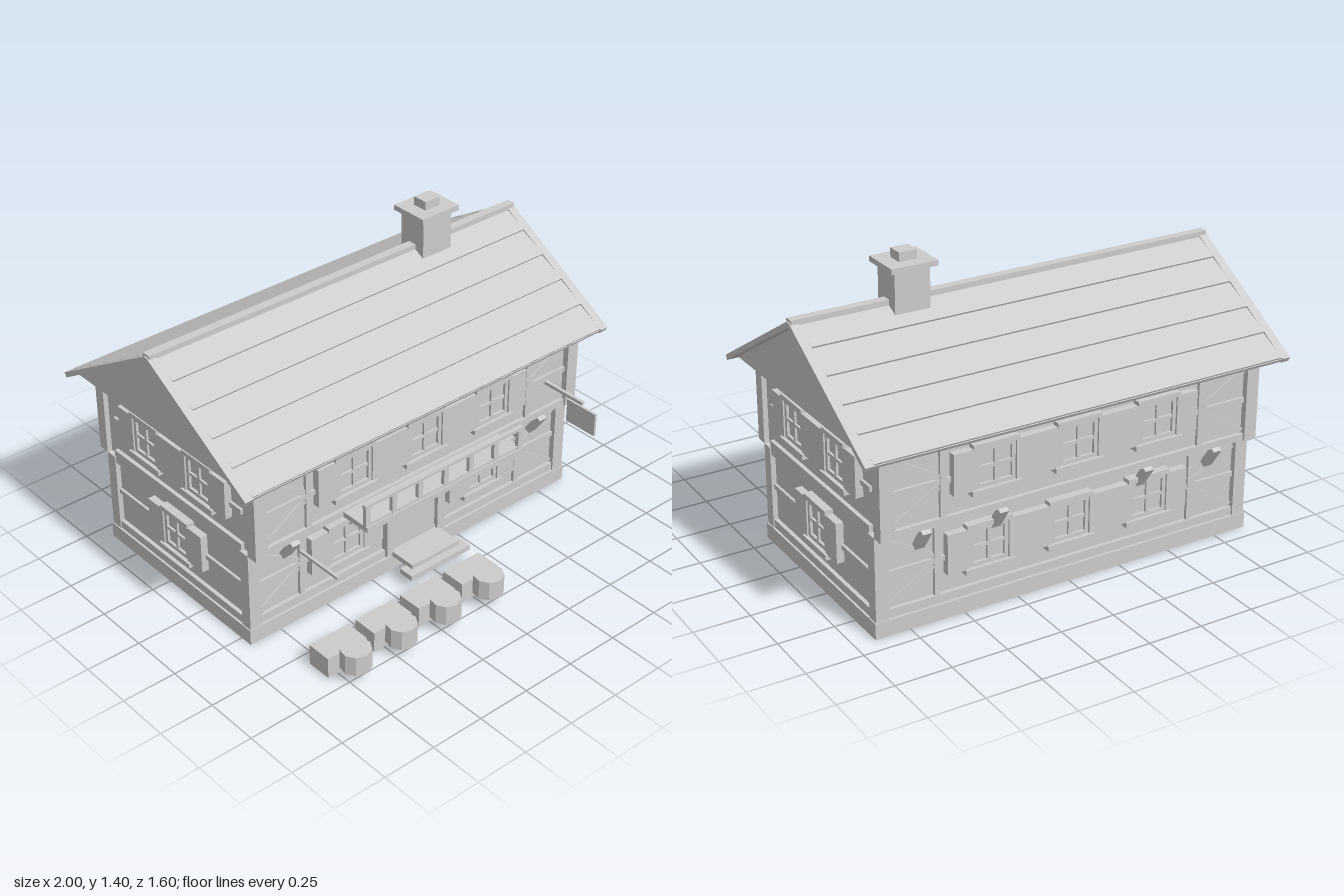
import * as THREE from 'three';

const gray = new THREE.MeshStandardMaterial({ color: 0xcccccc });
gray.name = 'plain gray';
const ZC = -0.183; // middle of the house in z

function add(parent, name, geo, x = 0, y = 0, z = 0) {
  const m = new THREE.Mesh(geo, gray);
  m.name = name;
  m.position.set(x, y, z);
  parent.add(m);
  return m;
}

// box given by its limits on each axis
function span(parent, name, x0, x1, y0, y1, z0, z1) {
  return add(parent, name, new THREE.BoxGeometry(x1 - x0, y1 - y0, z1 - z0),
    (x0 + x1) / 2, (y0 + y1) / 2, (z0 + z1) / 2);
}

function group(parent, name) {
  const g = new THREE.Group();
  g.name = name;
  parent.add(g);
  return g;
}

// shuttered window; the wall plane is z = 0
function windowUnit(parent, x, y, half) {
  const w = group(parent, 'window');
  w.position.set(x, y, 0);
  const h = 0.087, t = 0.017;
  span(w, 'pane', -half, half, -h, h, 0, 0.016);
  for (const s of [-1, 1]) {
    const c = s * (half - t / 2);
    span(w, 'frameSide', c - t / 2, c + t / 2, -h, h, 0, 0.028);
    const e = s * (h - t / 2);
    span(w, 'frameEnd', -half, half, e - t / 2, e + t / 2, 0, 0.028);
    const sh = s * (half + 0.053);
    span(w, 'shutter', sh - 0.051, sh + 0.051, -0.09, 0.09, 0, 0.034);
  }
  span(w, 'mullion', -0.007, 0.007, -h, h, 0, 0.026);
  span(w, 'transom', -half, half, -0.007, 0.007, 0, 0.026);
  span(w, 'sill', -half - 0.025, half + 0.025, -0.11, -h, 0, 0.045);
  span(w, 'header', -half - 0.015, half + 0.015, h, 0.108, 0, 0.038);
}

// one storey of timbering on a wall
function timbers(parent, half, bands, braced) {
  const [bottom, rail, top] = bands;
  span(parent, 'bottomBeam', -half, half, ...bottom, 0, 0.018);
  span(parent, 'midRail', -half, half, ...rail, 0, 0.012);
  span(parent, 'topBeam', -half, half, ...top, 0, 0.018);
  if (!braced) return;
  for (const s of [-1, 1]) {
    span(parent, 'stud', s * 0.617 - 0.013, s * 0.617 + 0.013, bottom[1], top[0], 0, 0.014);
    for (const [yo, yi] of [[top[0] - 0.012, rail[1] + 0.008], [bottom[1] + 0.012, rail[0] - 0.008]]) {
      const dx = -s * 0.205, dy = yi - yo;
      const b = add(parent, 'brace', new THREE.BoxGeometry(Math.hypot(dx, dy), 0.025, 0.011),
        s * 0.735, (yo + yi) / 2, 0.0055);
      b.rotation.z = Math.atan(dy / dx);
    }
  }
}

const LOWER = [[0.07, 0.11], [0.255, 0.278], [0.418, 0.45]];
const UPPER = [[0.45, 0.482], [0.625, 0.648], [0.787, 0.83]];

function facade(house, name, turn, lowDist, highDist, half, lowWins, highWins, winHalf, braced) {
  const f = group(house, name);
  f.position.z = ZC;
  f.rotation.y = turn;
  const low = group(f, 'lowerStorey'), high = group(f, 'upperStorey');
  low.position.z = lowDist;
  high.position.z = highDist;
  timbers(low, half, LOWER, braced);
  timbers(high, half, UPPER, braced);
  lowWins.forEach(x => windowUnit(low, x, 0.285, winHalf));
  highWins.forEach(x => windowUnit(high, x, 0.66, winHalf));
  // slanted brackets below the overhang
  if (braced) for (const x of [-0.7, -0.35, 0.35, 0.7]) {
    const b = add(low, 'bracket', new THREE.BoxGeometry(0.042, 0.115, 0.03), x, 0.402, 0.042);
    b.rotation.x = 0.6;
  }
}

function roof(house) {
  const r = group(house, 'roof');
  r.position.z = ZC;
  const run = 0.612, rise = 0.365, peak = 1.19;
  const angle = Math.atan2(rise, run), len = Math.hypot(run, rise);
  const tri = new THREE.Shape([[-run + 0.01, 0.826], [run - 0.01, 0.826], [0, peak - 0.006]]
    .map(p => new THREE.Vector2(...p)));
  const gable = new THREE.ExtrudeGeometry(tri, { depth: 1.92, bevelEnabled: false });
  gable.translate(0, 0, -0.96).rotateY(Math.PI / 2);
  add(r, 'gable', gable);
  for (const turn of [0, Math.PI]) {
    const side = group(r, 'roofSide');
    side.rotation.y = turn;
    const slope = group(side, 'slope');
    slope.position.y = peak;
    slope.rotation.x = angle;
    span(slope, 'roofBoard', -0.97, 0.97, -0.014, 0.002, 0, len);
    for (let i = 0; i < 5; i++) {
      const c = add(slope, 'shingleCourse', new THREE.BoxGeometry(1.92, 0.01, 0.135),
        0, 0.002, (i + 0.5) * len / 5);
      c.rotation.x = -0.06;
    }
    for (const s of [-1, 1])
      span(slope, 'bargeBoard', s * 0.98 - 0.02, s * 0.98 + 0.02, -0.014, 0.009, 0, len + 0.004);
  }
  span(r, 'ridgeCap', -0.995, 0.995, 1.178, 1.207, -0.02, 0.02);
  // chimney
  span(r, 'chimneyStack', 0.405, 0.565, 1.08, 1.34, -0.07, 0.07);
  span(r, 'chimneyCap', 0.38, 0.59, 1.338, 1.362, -0.092, 0.092);
  span(r, 'chimneyPot', 0.445, 0.525, 1.36, 1.402, -0.036, 0.036);
}

function entrance(house) {
  const e = group(house, 'entrance');
  span(e, 'door', -0.12, 0.12, 0.085, 0.365, 0.27, 0.297);
  for (const s of [-1, 1]) span(e, 'doorPost', s * 0.145 - 0.021, s * 0.145 + 0.021, 0.08, 0.365, 0.27, 0.313);
  span(e, 'lintel', -0.175, 0.175, 0.362, 0.402, 0.27, 0.316);
  const canopy = add(e, 'canopy', new THREE.BoxGeometry(0.4, 0.018, 0.12), 0, 0.42, 0.357);
  canopy.rotation.x = -0.17;
  span(e, 'upperStep', -0.135, 0.135, 0.072, 0.096, 0.3, 0.44);
  span(e, 'lowerStep', -0.17, 0.17, 0.05, 0.075, 0.4, 0.475);
}

function balcony(house) {
  const b = group(house, 'balcony');
  span(b, 'balconyFloor', -0.44, 0.44, 0.45, 0.475, 0.33, 0.5);
  span(b, 'topRail', -0.445, 0.445, 0.567, 0.582, 0.475, 0.495);
  span(b, 'bottomRail', -0.44, 0.44, 0.475, 0.488, 0.477, 0.493);
  for (let i = 0; i <= 6; i++) {
    const x = -0.43 + i * 0.86 / 6;
    span(b, 'railPost', x - 0.013, x + 0.013, 0.475, 0.57, 0.476, 0.494);
  }
}

export function createModel() {
  const house = new THREE.Group();
  house.name = 'timberHouse';

  // body
  span(house, 'foundation', -0.908, 0.908, 0, 0.072, ZC - 0.493, ZC + 0.493);
  span(house, 'lowerWalls', -0.88, 0.88, 0.05, 0.46, ZC - 0.463, ZC + 0.463);
  span(house, 'upperWalls', -0.88, 0.88, 0.45, 0.83, ZC - 0.515, ZC + 0.515);
  for (const sx of [-1, 1]) for (const sz of [-1, 1]) {
    const x = sx * 0.873;
    const zl = ZC + sz * 0.462, zu = ZC + sz * 0.516;
    span(house, 'lowerPost', x - 0.03, x + 0.03, 0.07, 0.45, zl - 0.027, zl + 0.027);
    span(house, 'upperPost', x - 0.03, x + 0.03, 0.45, 0.83, zu - 0.027, zu + 0.027);
  }

  // walls with timbering and windows
  const three = [-0.387, 0, 0.387], pair = [-0.182, 0.182];
  facade(house, 'frontWall', 0, 0.463, 0.515, 0.845, [-0.387, 0.387], three, 0.09, true);
  facade(house, 'backWall', Math.PI, 0.463, 0.515, 0.845, three, three, 0.09, true);
  for (const s of [-1, 1])
    facade(house, 'sideWall', s * Math.PI / 2, 0.88, 0.88, 0.44, [0], pair, 0.08, false);

  roof(house);
  entrance(house);
  balcony(house);

  // hanging sign and flag pole
  span(house, 'signArm', 0.732, 0.748, 0.597, 0.612, 0.33, 0.56);
  span(house, 'signBoard', 0.735, 0.746, 0.475, 0.585, 0.47, 0.637);
  span(house, 'pole', -0.797, -0.785, 0.533, 0.545, 0.505, 0.735);

  // row of crates with barrels
  for (let i = 0; i < 4; i++) {
    const x = -0.702 + i * 0.244;
    span(house, 'crate', x - 0.102, x + 0.102, 0.008, 0.105, 0.565, 0.682);
    add(house, 'barrel', new THREE.CylinderGeometry(0.067, 0.067, 0.092, 9).toNonIndexed(), x, 0.097, 0.733);
  }
  house.traverse(o => {
    if (o.name === 'barrel') o.geometry.computeVertexNormals();
  });
  return house;
}
